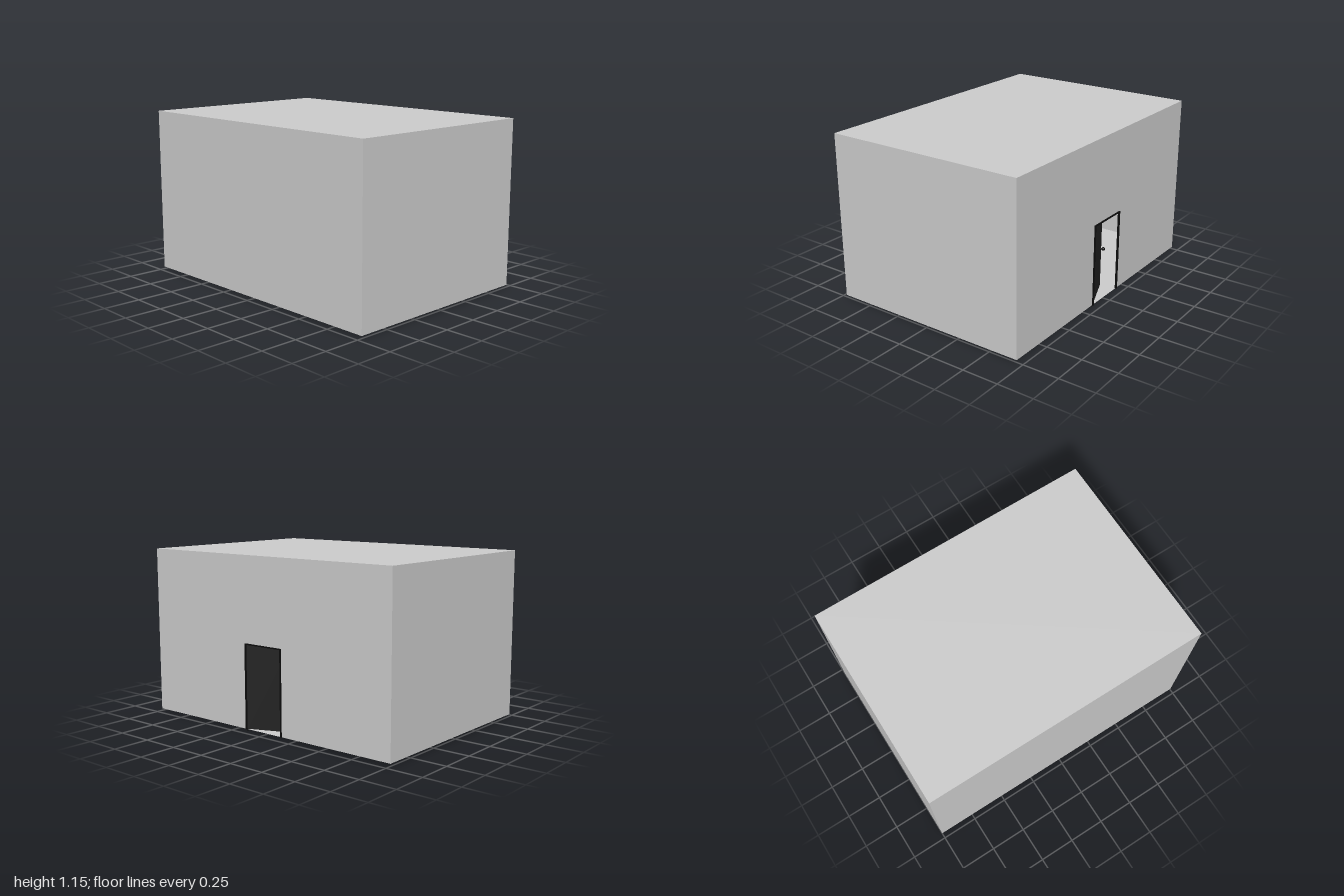
import * as THREE from 'three';

const mat = (color) => new THREE.MeshStandardMaterial({ color, side: THREE.DoubleSide });

export function createModel() {
  const model = new THREE.Group();
  const grey = mat(0xcccccc), dark = mat(0x222222), black = mat(0x0c0c0c);

  const add = (parent, name, geometry, material, x, y, z) => {
    const mesh = new THREE.Mesh(geometry, material);
    mesh.name = name;
    mesh.position.set(x, y, z);
    parent.add(mesh);
    return mesh;
  };

  // Room shell: thin sheets, the doorway cut out of the +x wall
  const left = -0.715, right = 0.705, y0 = 0.015, y1 = 1.155;
  const w = right - left, h = y1 - y0, cx = (left + right) / 2, cy = (y0 + y1) / 2;
  const room = new THREE.Group();
  room.name = 'room';
  model.add(room);
  add(room, 'frontWall', new THREE.PlaneGeometry(w, h), grey, cx, cy, 1);
  add(room, 'backWall', new THREE.PlaneGeometry(w, h), grey, cx, cy, -1).rotation.y = Math.PI;
  add(room, 'farWall', new THREE.PlaneGeometry(2, h), grey, left, cy, 0).rotation.y = -Math.PI / 2;
  add(room, 'ceiling', new THREE.PlaneGeometry(w, 2), grey, cx, y1, 0).rotation.x = -Math.PI / 2;
  add(room, 'floor', new THREE.PlaneGeometry(w, 2), grey, cx, y0, 0).rotation.x = Math.PI / 2;

  const half = 0.153, top = 0.582;
  const outline = [[-1, y0], [-half, y0], [-half, top], [half, top], [half, y0], [1, y0], [1, y1], [-1, y1]];
  const wall = new THREE.Shape(outline.map(([a, b]) => new THREE.Vector2(a, b)));
  add(room, 'doorWall', new THREE.ShapeGeometry(wall), grey, right, 0, 0).rotation.y = Math.PI / 2;

  // Door frame: two posts and a lintel
  const frame = new THREE.Group();
  frame.name = 'doorFrame';
  model.add(frame);
  for (const s of [-1, 1]) {
    add(frame, 'framePost', new THREE.BoxGeometry(0.015, 0.57, 0.006), black, 0.7075, 0.3, s * 0.152);
  }
  add(frame, 'frameLintel', new THREE.BoxGeometry(0.015, 0.007, 0.31), black, 0.7075, 0.5815, 0);

  // Door, hinged at the +z post and ajar into the room
  const door = new THREE.Group();
  door.name = 'door';
  door.position.set(0.7, 0, 0.149);
  door.rotation.y = 0.38;
  model.add(door);
  add(door, 'doorPanel', new THREE.BoxGeometry(0.01, 0.56, 0.295), dark, 0, 0.297, -0.1475);
  add(door, 'hingePin', new THREE.CylinderGeometry(0.003, 0.003, 0.58, 10), black, 0, 0.29, 0);
  add(door, 'footPin', new THREE.CylinderGeometry(0.003, 0.003, 0.02, 8), black, 0, 0.015, -0.29);

  // Knobs on both faces
  for (const s of [-1, 1]) {
    add(door, 'knobStem', new THREE.CylinderGeometry(0.005, 0.005, 0.014, 12), black, s * 0.011, 0.3, -0.276)
      .rotation.z = Math.PI / 2;
    add(door, 'knob', new THREE.SphereGeometry(0.012, 20, 14), black, s * 0.022, 0.3, -0.276);
  }
  return model;
}
